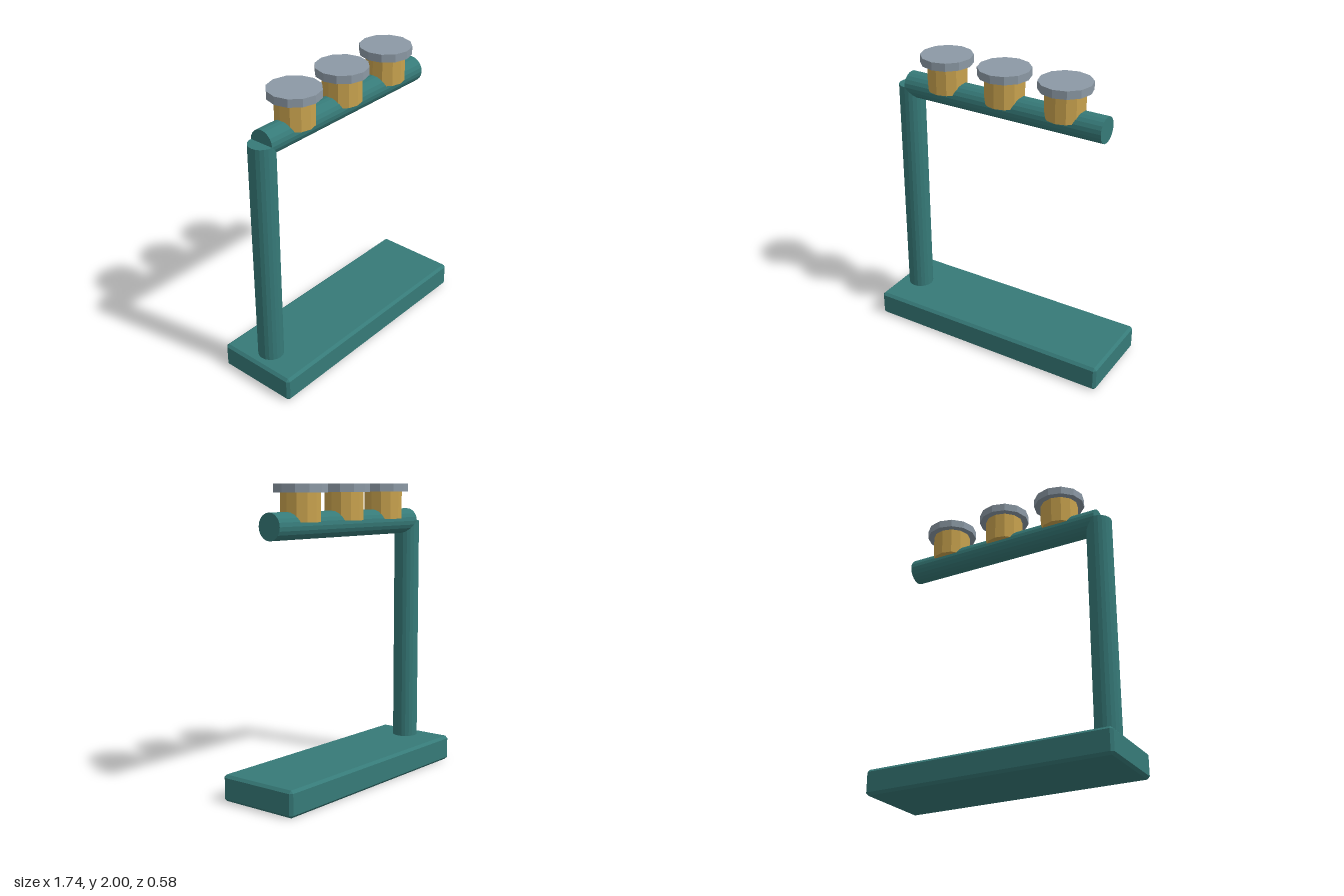
import * as THREE from 'three';
import { ConvexGeometry } from 'three/addons/geometries/ConvexGeometry.js';

function material(name, color) {
  const m = new THREE.MeshStandardMaterial({ color, flatShading: true });
  m.name = name;
  return m;
}

// Box with every edge cut by a single flat chamfer
function chamferedBox(w, h, d, c) {
  const points = [];
  for (const x of [-1, 1]) for (const y of [-1, 1]) for (const z of [-1, 1]) {
    for (let axis = 0; axis < 3; axis++) {
      const inset = [c, c, c];
      inset[axis] = 0;
      points.push(new THREE.Vector3(
        x * (w / 2 - inset[0]), y * (h / 2 - inset[1]), z * (d / 2 - inset[2])));
    }
  }
  return new ConvexGeometry(points);
}

export function createModel() {
  const teal = material('teal paint', 0x367a78);
  const brass = material('brass', 0xc8a24e);
  const steel = material('grey steel', 0x8c99a5);

  const model = new THREE.Group();
  model.name = 'stand';

  function add(parent, name, geometry, mat, x, y, z = 0) {
    const mesh = new THREE.Mesh(geometry, mat);
    mesh.name = name;
    mesh.position.set(x, y, z);
    parent.add(mesh);
    return mesh;
  }

  // Base slab
  add(model, 'base', chamferedBox(1.74, 0.174, 0.58, 0.018), teal, 0, 0.087);

  // Upright post, sunk slightly into the base
  const postBottom = 0.1, postTop = 1.74;
  add(model, 'post', new THREE.CylinderGeometry(0.087, 0.087, postTop - postBottom, 20),
    teal, -0.725, (postTop + postBottom) / 2);

  // Horizontal arm
  const arm = add(model, 'arm', new THREE.CylinderGeometry(0.087, 0.087, 1.45, 20), teal, 0, 1.74);
  arm.rotation.z = Math.PI / 2;

  // Three capped collars along the arm
  const collar = new THREE.CylinderGeometry(0.13, 0.13, 0.185, 12);
  const cap = new THREE.CylinderGeometry(0.174, 0.174, 0.054, 12);
  for (const x of [-0.435, 0, 0.435]) {
    const knob = new THREE.Group();
    knob.name = 'knob';
    knob.position.x = x;
    add(knob, 'collar', collar, brass, 0, 1.8545);
    add(knob, 'cap', cap, steel, 0, 1.973);
    model.add(knob);
  }

  return model;
}
